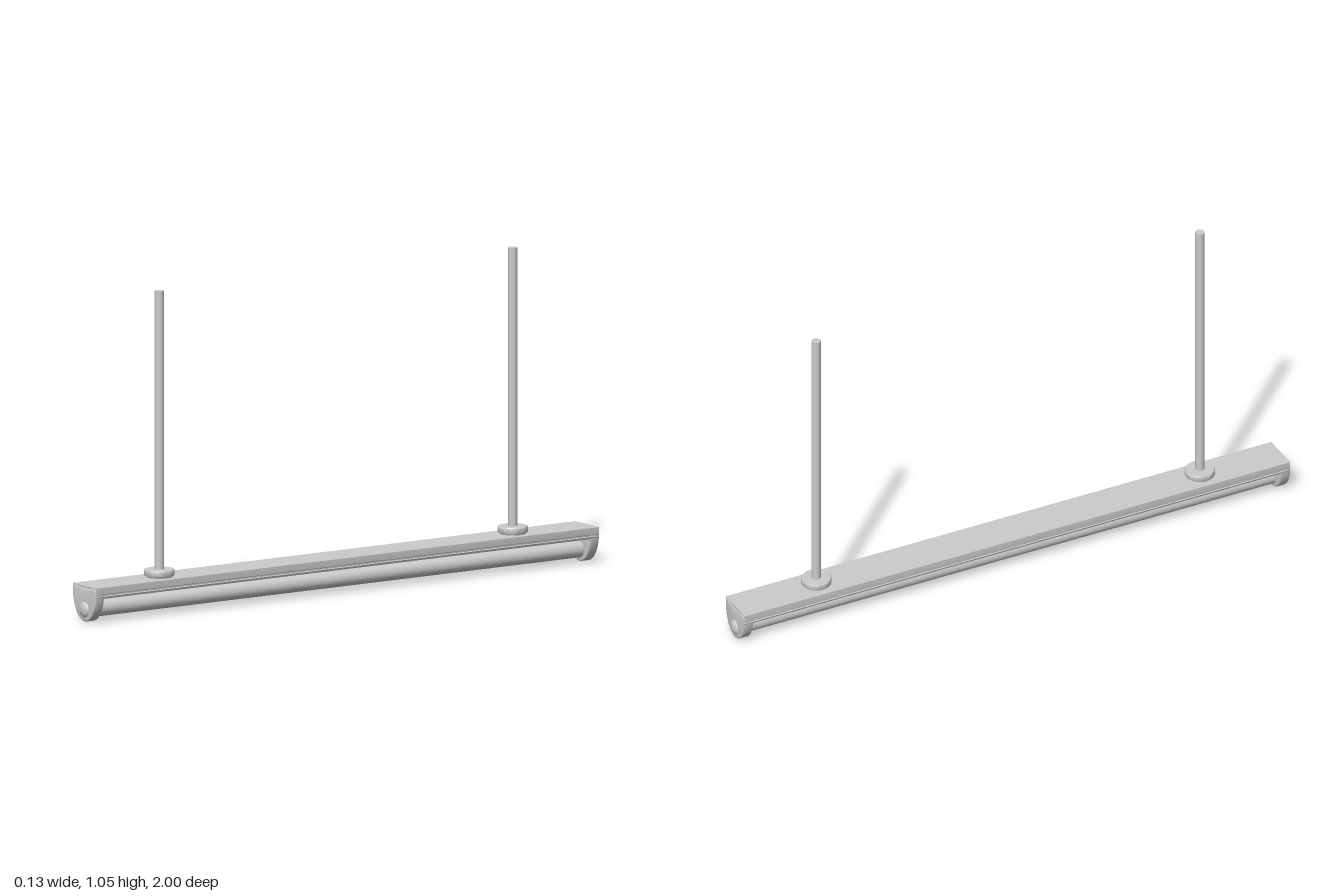
import * as THREE from 'three';
import { toCreasedNormals } from 'three/addons/utils/BufferGeometryUtils.js';

const material = new THREE.MeshStandardMaterial({ color: 0xcccccc });

function add(parent, name, geometry, x = 0, y = 0, z = 0) {
  const mesh = new THREE.Mesh(geometry, material);
  mesh.name = name;
  mesh.position.set(x, y, z);
  parent.add(mesh);
  return mesh;
}

// Extrude a shape along z, centred on z = 0
function extrudeZ(shape, depth, bevel = 0) {
  const geometry = new THREE.ExtrudeGeometry(shape, {
    depth: depth - 2 * bevel, curveSegments: 32, bevelEnabled: bevel > 0,
    bevelSize: bevel, bevelThickness: bevel, bevelOffset: -bevel, bevelSegments: 3,
  });
  geometry.translate(0, 0, -depth / 2 + bevel);
  return toCreasedNormals(geometry, 0.6);
}

// Shallow channel: flat top, lipped sides, open underneath
function housingShape() {
  const half = [[0.067, 0.12], [0.067, 0.098], [0.064, 0.096], [0.064, 0.092],
    [0.066, 0.09], [0.063, 0.083], [0.058, 0.083], [0.06, 0.1], [0.052, 0.112]];
  const mirrored = half.map(([x, y]) => [-x, y]).reverse();
  return new THREE.Shape([...half, ...mirrored].map(([x, y]) => new THREE.Vector2(x, y)));
}

// U-shaped end plate with a slightly dished top edge
function capShape() {
  const shape = new THREE.Shape();
  shape.moveTo(-0.065, 0.1);
  shape.absellipse(0, 0.1, 0.065, 0.097, Math.PI, 2 * Math.PI, false);
  shape.quadraticCurveTo(0.064, 0.117, 0.05, 0.117);
  shape.quadraticCurveTo(0, 0.105, -0.05, 0.117);
  shape.quadraticCurveTo(-0.064, 0.117, -0.065, 0.1);
  return shape;
}

export function createModel() {
  const model = new THREE.Group();
  model.name = 'hangingTubeLight';

  add(model, 'housing', extrudeZ(housingShape(), 1.976));

  // Lamp tube between the end caps
  const tube = new THREE.CylinderGeometry(0.027, 0.027, 1.94, 32).rotateX(Math.PI / 2);
  add(model, 'lampTube', tube, 0, 0.042, 0);

  // Shallow domed button on each end cap
  const dome = new THREE.SphereGeometry(0.026, 32, 10, 0, Math.PI * 2, 0, Math.PI / 2)
    .rotateX(Math.PI / 2).scale(1, 1, 0.5);

  // Ceiling mount: round flange with a rolled rim
  const flangeProfile = [[0, 0.118], [0.042, 0.118], [0.044, 0.123], [0.048, 0.125],
    [0.049, 0.128], [0.049, 0.142], [0.047, 0.145], [0, 0.145]]
    .map(([r, y]) => new THREE.Vector2(r, y));
  const flange = toCreasedNormals(new THREE.LatheGeometry(flangeProfile, 32), 0.6);
  const rod = new THREE.CylinderGeometry(0.015, 0.015, 0.925, 24);

  for (const side of [1, -1]) {
    const end = side > 0 ? 'front' : 'back';
    add(model, end + 'EndCap', extrudeZ(capShape(), 0.034, 0.003), 0, 0, side * 0.973);
    const button = add(model, end + 'EndButton', dome, 0, 0.042, side * 0.987);
    if (side < 0) button.rotation.y = Math.PI;
    add(model, end + 'Flange', flange, 0, 0, side * 0.695);
    add(model, end + 'Rod', rod, 0, 0.5925, side * 0.695);
  }
  return model;
}
